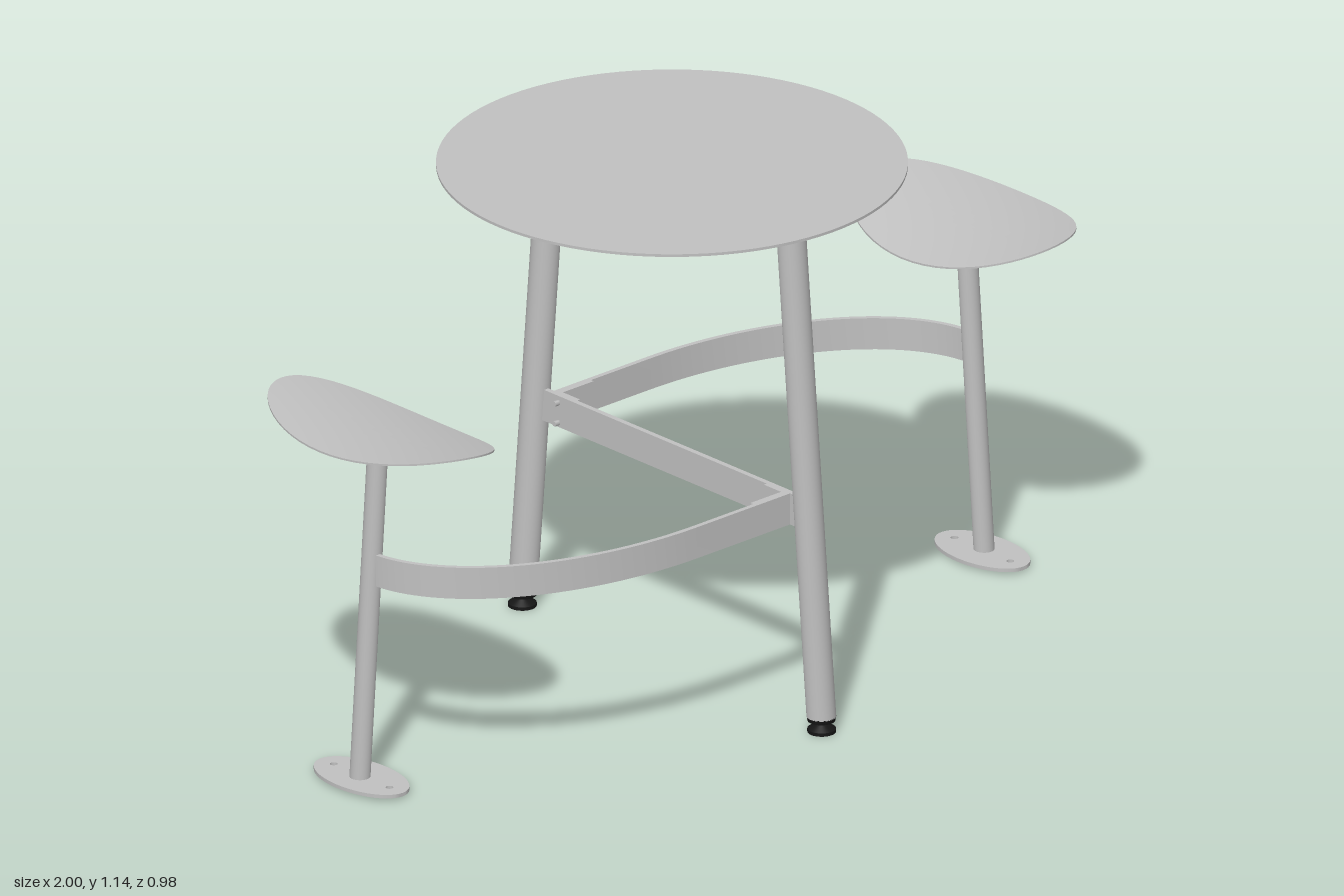
import * as THREE from 'three';
import { toCreasedNormals } from 'three/addons/utils/BufferGeometryUtils.js';

export function createModel() {
  const steel = new THREE.MeshStandardMaterial({ color: 0xc0c0c0 });
  steel.name = 'grey steel';
  const rubber = new THREE.MeshStandardMaterial({ color: 0x151515 });
  rubber.name = 'black rubber';

  const model = new THREE.Group();
  model.name = 'picnicTable';

  function add(parent, name, geometry, x = 0, y = 0, z = 0, material = steel) {
    const mesh = new THREE.Mesh(geometry, material);
    mesh.name = name;
    mesh.position.set(x, y, z);
    parent.add(mesh);
    return mesh;
  }
  const box = (w, h, d) => new THREE.BoxGeometry(w, h, d);

  // Round tube with level ends, sheared so it leans from a to b
  function leaningTube(a, b, r) {
    const h = b[1] - a[1];
    const g = new THREE.CylinderGeometry(r, r, h, 32);
    g.translate(0, h / 2, 0);
    const p = g.attributes.position;
    for (let i = 0; i < p.count; i++) {
      const t = p.getY(i) / h;
      p.setXYZ(i, p.getX(i) + a[0] + (b[0] - a[0]) * t, p.getY(i) + a[1], p.getZ(i) + a[2] + (b[2] - a[2]) * t);
    }
    return g;
  }

  // Thin elliptical shell bent into a saddle
  function seatGeometry() {
    const profile = [];
    const rings = 14, t = 0.004;
    for (let i = 0; i <= rings; i++) profile.push(new THREE.Vector2(i / rings, -t));
    for (let i = rings; i >= 0; i--) profile.push(new THREE.Vector2(i / rings, 0));
    const g = new THREE.LatheGeometry(profile, 56);
    const p = g.attributes.position;
    for (let i = 0; i < p.count; i++) {
      const x = p.getX(i) * 0.175, z = p.getZ(i) * 0.29;
      p.setXYZ(i, x, p.getY(i) + 0.12 * x - 0.46 * x * x + 0.4 * z * z, z);
    }
    return toCreasedNormals(g, 0.7);
  }

  // Flat bar swept from the table leg round to the seat post
  function curvedBarGeometry() {
    const outer = [], inner = [];
    const t = 0.011, cx = 0.27, a = 0.59, b = 0.366;
    outer.push(new THREE.Vector2(0, b));
    inner.push(new THREE.Vector2(0, b - t));
    for (let i = 0; i <= 36; i++) {
      const s = Math.PI / 2 * (1 - i / 36);
      outer.push(new THREE.Vector2(cx + a * Math.cos(s), b * Math.sin(s)));
      inner.push(new THREE.Vector2(cx + (a - t) * Math.cos(s), (b - t) * Math.sin(s)));
    }
    const shape = new THREE.Shape([...outer, ...inner.reverse()]);
    const g = new THREE.ExtrudeGeometry(shape, { depth: 0.07, bevelEnabled: false });
    g.rotateX(-Math.PI / 2);
    return toCreasedNormals(g, 0.5);
  }

  // Oval floor plate with two bolt holes
  function floorPlateGeometry() {
    const shape = new THREE.Shape();
    shape.absellipse(0, 0, 0.07, 0.125, 0, Math.PI * 2);
    for (const s of [-1, 1]) {
      const hole = new THREE.Path();
      hole.absarc(0, s * 0.085, 0.008, 0, Math.PI * 2, true);
      shape.holes.push(hole);
    }
    const g = new THREE.ExtrudeGeometry(shape, { depth: 0.008, bevelEnabled: false, curveSegments: 24 });
    g.rotateX(-Math.PI / 2);
    return toCreasedNormals(g, 0.5);
  }

  // Triangular plate carrying the seat
  function gussetGeometry() {
    const shape = new THREE.Shape();
    shape.moveTo(-0.02, 0.73);
    shape.lineTo(0.02, 0.73);
    shape.lineTo(0.13, 0.776);
    shape.quadraticCurveTo(0, 0.764, -0.13, 0.776);
    const g = new THREE.ExtrudeGeometry(shape, { depth: 0.008, bevelEnabled: false });
    g.rotateY(Math.PI / 2);
    return g;
  }

  // Table top and the bars joining the two legs
  add(model, 'tableTop', new THREE.CylinderGeometry(0.49, 0.49, 0.006, 96), 0, 1.139, 0);
  add(model, 'upperCrossbar', box(0.012, 0.07, 0.68), 0, 1.1, 0);
  add(model, 'lowerCrossbar', box(0.012, 0.07, 0.78), 0, 0.475, 0);

  // Square frame under the top, turned by 45 degrees
  const frame = new THREE.Group();
  frame.name = 'topFrame';
  frame.position.y = 1.126;
  frame.rotation.y = Math.PI / 4;
  model.add(frame);
  for (const s of [-1, 1]) {
    add(frame, 'frameBar', box(0.42, 0.022, 0.04), 0, 0, s * 0.19);
    add(frame, 'frameBar', box(0.04, 0.022, 0.34), s * 0.19, 0, 0);
    for (const x of [-0.15, 0.15]) {
      add(frame, 'frameBolt', new THREE.CylinderGeometry(0.008, 0.008, 0.008, 12), x, -0.014, s * 0.19);
    }
  }

  // Two identical halves, one turned half a revolution
  for (let k = 0; k < 2; k++) {
    const half = new THREE.Group();
    half.name = k ? 'rightHalf' : 'leftHalf';
    half.rotation.y = k * Math.PI;
    model.add(half);

    // Table leg with its adjustable foot
    add(half, 'tableLeg', leaningTube([0, 0.034, -0.455], [0, 1.136, -0.36], 0.031));
    add(half, 'legPlug', new THREE.CylinderGeometry(0.031, 0.029, 0.01, 32), 0, 0.03, -0.455, rubber);
    add(half, 'footStem', new THREE.CylinderGeometry(0.01, 0.01, 0.02, 16), 0, 0.02, -0.456, rubber);
    add(half, 'footCone', new THREE.CylinderGeometry(0.01, 0.029, 0.011, 32), 0, 0.0125, -0.456, rubber);
    add(half, 'footPad', new THREE.CylinderGeometry(0.03, 0.03, 0.007, 32), 0, 0.0035, -0.456, rubber);

    // Curved bar, with the angle bracket that bolts it to the crossbar
    add(half, 'curvedBar', curvedBarGeometry(), 0, 0.44, 0);
    add(half, 'bracketTab', box(0.095, 0.07, 0.008), 0.053, 0.475, -0.351);
    add(half, 'bracketFlange', box(0.008, 0.07, 0.06), 0.01, 0.475, -0.325);
    for (const y of [0.45, 0.495]) {
      const bolt = add(half, 'bracketBolt', new THREE.CylinderGeometry(0.006, 0.006, 0.036, 6), 0, y, -0.34);
      bolt.rotation.z = Math.PI / 2;
    }

    // Seat, its post and floor plate
    add(half, 'seat', seatGeometry(), 0.825, 0.774, 0);
    add(half, 'seatGusset', gussetGeometry(), 0.828, 0, 0);
    add(half, 'seatPost', leaningTube([0.885, 0.008, 0], [0.832, 0.768, 0], 0.022));
    add(half, 'floorPlate', floorPlateGeometry(), 0.88, 0.005, 0);
    const pad = add(half, 'floorPad', new THREE.CylinderGeometry(1, 1, 0.005, 48), 0.88, 0.0025, 0);
    pad.scale.set(0.06, 1, 0.07);
  }
  return model;
}
